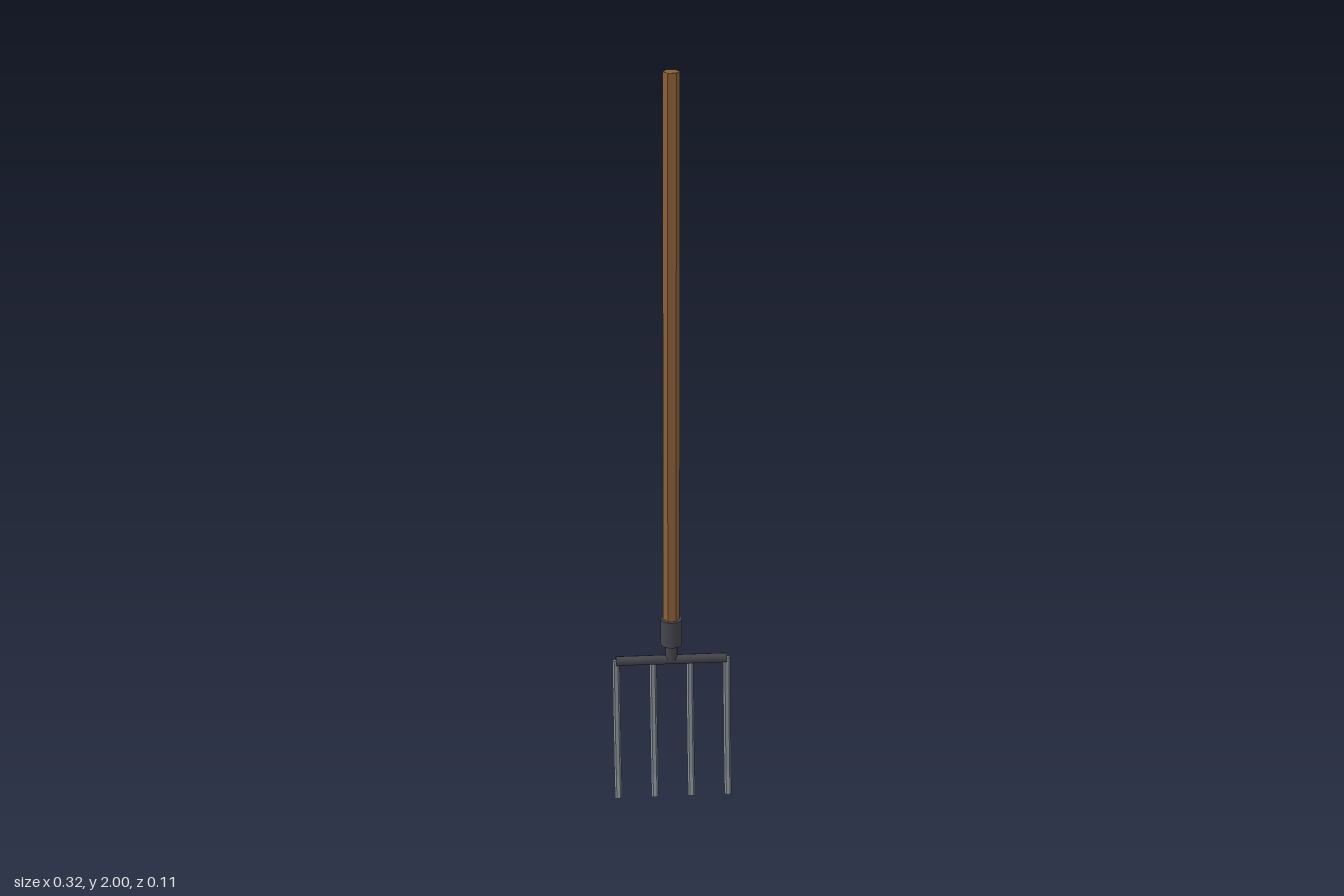
import * as THREE from 'three';

const wood = new THREE.MeshStandardMaterial({ color: 0x8a6038, flatShading: true });
const iron = new THREE.MeshStandardMaterial({ color: 0x44464c });
const steel = new THREE.MeshStandardMaterial({ color: 0x80888f, flatShading: true });

const AXIS_Z = -0.028;

function rod(name, radius, y0, y1, sides, material) {
  // a corner of the section points along x
  const geometry = new THREE.CylinderGeometry(radius, radius, y1 - y0, sides, 1, false, Math.PI / 2);
  const mesh = new THREE.Mesh(geometry, material);
  mesh.name = name;
  mesh.position.set(0, (y0 + y1) / 2, AXIS_Z);
  return mesh;
}

// Centre line of a tine as [z, y], from the crossbar to the tip
const TINE_PATH = [[-0.028, 0.385], [-0.018, 0.29], [-0.003, 0.2], [0.025, 0.06], [0.047, 0.003]];

// Six-sided rod bent along the centre line, closed at both ends
function tineGeometry(radius) {
  const rows = TINE_PATH.length - 1;
  const geometry = new THREE.CylinderGeometry(radius, radius, 1, 6, rows, false, Math.PI / 2);
  const position = geometry.attributes.position;
  for (let i = 0; i < position.count; i++) {
    const row = Math.round((0.5 - position.getY(i)) * rows);
    const [z, y] = TINE_PATH[row];
    const before = TINE_PATH[Math.max(row - 1, 0)];
    const after = TINE_PATH[Math.min(row + 1, rows)];
    const dz = after[0] - before[0], dy = after[1] - before[1];
    const length = Math.hypot(dz, dy);
    const offset = position.getZ(i);
    position.setY(i, y + offset * dz / length);
    position.setZ(i, z - offset * dy / length);
  }
  geometry.computeVertexNormals();
  return geometry;
}

export function createModel() {
  const group = new THREE.Group();
  group.name = 'gardenFork';

  // Shaft and the iron fittings that hold it
  group.add(rod('handle', 0.022, 0.47, 2, 6, wood));
  group.add(rod('socket', 0.029, 0.43, 0.505, 16, iron));
  group.add(rod('neck', 0.016, 0.385, 0.435, 12, iron));

  // Crossbar carrying the tines
  const crossbar = new THREE.Mesh(new THREE.CylinderGeometry(0.0135, 0.0135, 0.3, 8), iron);
  crossbar.name = 'crossbar';
  crossbar.rotation.z = Math.PI / 2;
  crossbar.position.set(0, 0.383, AXIS_Z);
  group.add(crossbar);

  // Four curved tines
  const geometry = tineGeometry(0.0098);
  for (let i = 0; i < 4; i++) {
    const tine = new THREE.Mesh(geometry, steel);
    tine.name = `tine${i + 1}`;
    tine.position.x = -0.15 + i * 0.1;
    group.add(tine);
  }
  return group;
}
